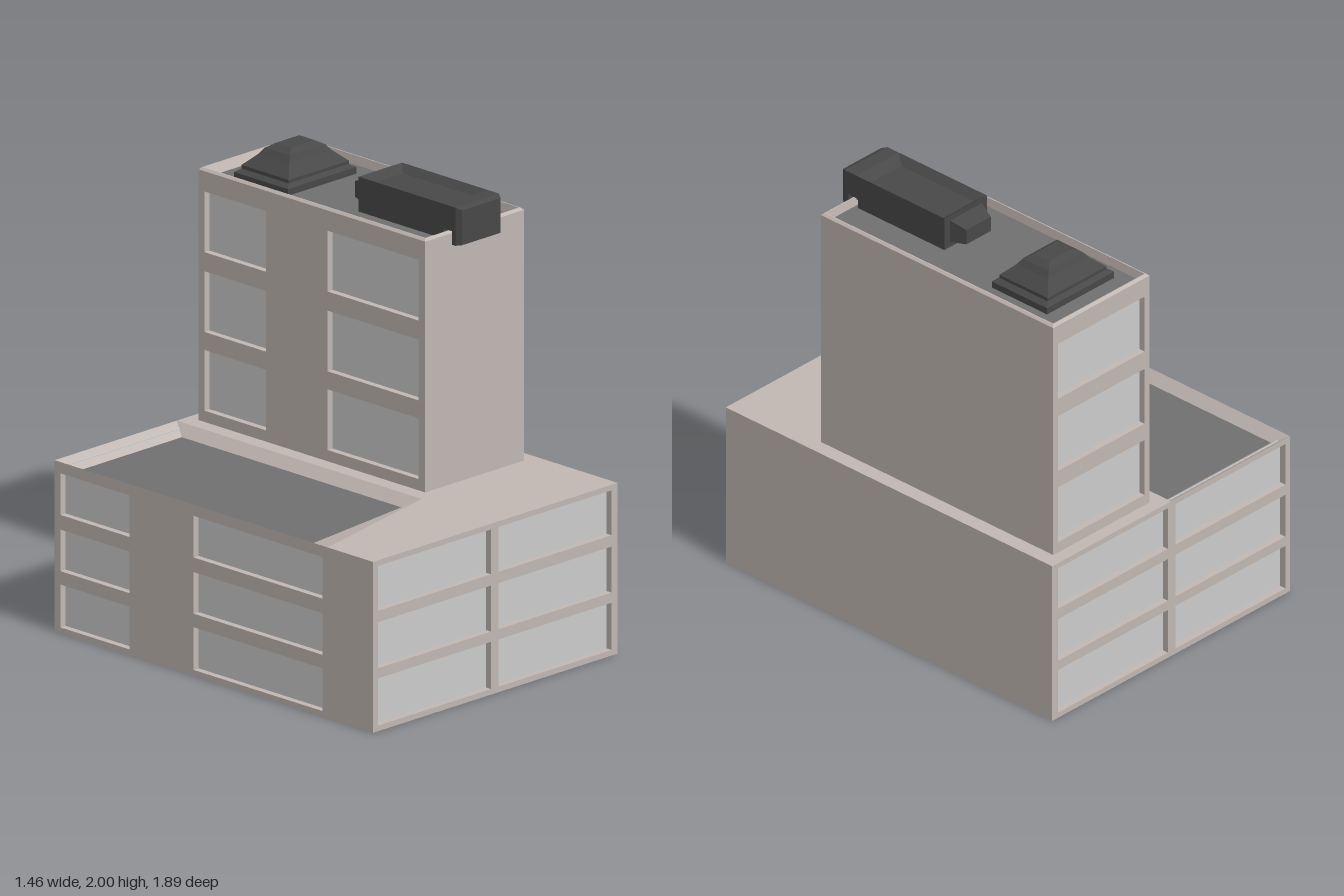
import * as THREE from 'three';

const mat = (color) => new THREE.MeshStandardMaterial({ color, flatShading: true });
const WALL = mat(0xc1b7b2), PANE = mat(0xcccccc), ROOF = mat(0x707070), DARK = mat(0x484848);
const T = 0.03; // facade thickness, also window recess depth

function add(parent, name, geometry, material) {
  const mesh = new THREE.Mesh(geometry, material);
  mesh.name = name;
  parent.add(mesh);
  return mesh;
}

// Rectangular loop, clockwise seen from above
const rect = (x0, x1, z0, z1, y) => [[x0, y, z0], [x1, y, z0], [x1, y, z1], [x0, y, z1]];

// Skin a stack of four-cornered loops; optionally close both ends
function loft(loops, start = false, end = false) {
  const p = [];
  const quad = (a, b, c, d) => p.push(...a, ...b, ...c, ...a, ...c, ...d);
  for (let k = 0; k + 1 < loops.length; k++) {
    const A = loops[k], B = loops[k + 1];
    for (let i = 0; i < 4; i++) {
      const j = (i + 1) % 4;
      quad(A[i], B[i], B[j], A[j]);
    }
  }
  if (start) quad(...loops[0]);
  if (end) quad(...[...loops[loops.length - 1]].reverse());
  const g = new THREE.BufferGeometry();
  g.setAttribute('position', new THREE.Float32BufferAttribute(p, 3));
  g.computeVertexNormals();
  return g;
}

function box(x0, x1, y0, y1, z0, z1) {
  return new THREE.BoxGeometry(x1 - x0, y1 - y0, z1 - z0)
    .translate((x0 + x1) / 2, (y0 + y1) / 2, (z0 + z1) / 2);
}

// Wall slab with window openings: every column [u0, u1] times every row [y0, y1]
function facade(u0, u1, y0, y1, columns, rows) {
  const outline = (Type, a, b, c, d) =>
    new Type([[a, c], [b, c], [b, d], [a, d]].map(([x, y]) => new THREE.Vector2(x, y)));
  const shape = outline(THREE.Shape, u0, u1, y0, y1);
  for (const [a, b] of columns)
    for (const [c, d] of rows) shape.holes.push(outline(THREE.Path, a, b, c, d));
  return new THREE.ExtrudeGeometry(shape, { depth: T, bevelEnabled: false });
}

function createBase() {
  const g = new THREE.Group();
  g.name = 'base';
  const X = 0.73, Z = 0.945, H = 0.76, top = 0.74, sideTop = 0.725;
  const rows = [[0.025, 0.235], [0.28, 0.485], [0.535, 0.735]];
  const sideRows = [[0.025, 0.215], [0.275, 0.46], [0.525, 0.71]];
  const columns = [[-0.7, -0.025], [0.02, 0.695]];

  // Window panes are the faces of a core set behind the facades
  add(g, 'baseWindowPanes', box(-X + T, X - T, 0.01, 0.71, -Z + T, Z - T), PANE);
  for (const s of [-1, 1])
    add(g, 'baseUpperPanes', box(-X + T + 0.005, X - T, 0.5, top, s * (Z - T) - (s > 0 ? 0.01 : 0),
      s * (Z - T) + (s < 0 ? 0.01 : 0)), PANE);
  add(g, 'baseFrontWall', facade(-X, X, 0, top, columns, rows).translate(0, 0, Z - T), WALL);
  add(g, 'baseBackWall', facade(-X, X, 0, top, columns, rows).translate(0, 0, -Z), WALL);
  add(g, 'baseRightWall', facade(-Z + T, Z - T, 0, sideTop, [[-0.91, -0.5], [-0.12, 0.645]], sideRows)
    .rotateY(-Math.PI / 2).translate(-X + T, 0, 0), WALL);
  add(g, 'baseLeftWall', box(X - T, X, 0, sideTop, -Z + T, Z - T), WALL);

  // Band above the facades: follows the lower panel top on the two long sides
  add(g, 'baseTopBand', loft([rect(-X, X, -Z, Z, top), rect(-X, X, -Z, Z, H)]), WALL);
  add(g, 'baseSideBand', loft([rect(-X, X, -Z + T, Z - T, sideTop), rect(-X, X, -Z + T, Z - T, top)]), WALL);
  add(g, 'baseUnderside', loft([rect(-X, X, -Z, Z, 0)], true), WALL);

  // Flat deck around the sunken roof
  const deck = new THREE.Shape([[-X, Z], [X, Z], [X, -Z], [0, -Z], [0, 0.51], [-X, 0.675]]
    .map(([x, z]) => new THREE.Vector2(x, -z)));
  add(g, 'baseDeck', new THREE.ShapeGeometry(deck).rotateX(-Math.PI / 2).translate(0, H, 0), WALL);

  // Sloping sides and floor of the sunken roof
  const rim = [[-X, H, -Z], [0, H, -Z], [0, H, 0.51], [-X, H, 0.675]];
  const floor = rect(-0.69, -0.045, -0.87, 0.505, 0.715);
  add(g, 'sunkenRoofSlopes', loft([rim, floor]), WALL);
  add(g, 'sunkenRoofFloor', loft([floor], false, true), ROOF);
  return g;
}

function createTower() {
  const g = new THREE.Group();
  g.name = 'tower';
  const x0 = 0.07, x1 = 0.66, z0 = -0.885, z1 = 0.46, y0 = 0.76, top = 1.81;
  const rows = [[0.81, 1.08], [1.16, 1.43], [1.515, 1.785]];
  add(g, 'towerWindowPanes', box(x0 + T, x1 - T, y0, top, z0 + T, z1 - T), PANE);
  add(g, 'towerBackWall', facade(x0, x1, y0, top, [[0.1, 0.63]], rows).translate(0, 0, z0), WALL);
  add(g, 'towerFrontWall', facade(x0, x1, y0, top, [], []).translate(0, 0, z1 - T), WALL);
  add(g, 'towerRightWall', facade(z0 + T, z1 - T, y0, top, [[-0.85, -0.486], [-0.12, 0.42]], rows)
    .rotateY(-Math.PI / 2).translate(x0 + T, 0, 0), WALL);
  add(g, 'towerLeftWall', box(x1 - T, x1, y0, top, z0 + T, z1 - T), WALL);

  // Parapet with a chamfered edge around the lowered roof
  const ring = (inset, y) => rect(x0 + inset, x1 - inset, z0 + inset, z1 - inset, y);
  const floor = rect(x0 + 0.02, x1 - 0.02, z0 + 0.035, z1 - 0.02, 1.845);
  add(g, 'parapet', loft([ring(0, top), ring(0, 1.875), ring(0.01, 1.885), ring(0.015, 1.885), floor]), WALL);
  add(g, 'towerRoof', loft([floor], false, true), ROOF);
  return g;
}

function createSkylight() {
  const steps = [[0.205, 0.16, 1.84], [0.205, 0.16, 1.875], [0.18, 0.14, 1.89], [0.18, 0.14, 1.905],
    [0.125, 0.09, 1.955], [0.105, 0.075, 1.98], [0.07, 0.045, 2]];
  const g = new THREE.Group();
  g.name = 'skylight';
  add(g, 'skylightHood', loft(steps.map(([w, d, y]) =>
    rect(0.355 - w, 0.355 + w, -0.595 - d, -0.595 + d, y)), false, true), DARK);
  return g;
}

function createVent() {
  const g = new THREE.Group();
  g.name = 'roofVent';
  const a = 0.215, b = 0.475;
  // Body with a shallow tray in the top
  add(g, 'ventFoot', box(a, b, 1.84, 1.89, -0.08, 0.42), DARK);
  add(g, 'ventBody', loft([rect(a, b, -0.08, 0.43, 1.885), rect(a, b, -0.08, 0.43, 2),
    rect(0.25, 0.44, -0.04, 0.38, 1.97)], true, true), DARK);
  // Overhanging front hood with a downward lip, lofted forwards
  add(g, 'ventHood', loft([
    rect(a, b, -2, -1.89, 0.43), rect(a, b, -2, -1.89, 0.475), rect(a, b, -2, -1.83, 0.475),
    rect(a, b, -2, -1.83, 0.495), rect(0.23, 0.46, -1.99, -1.835, 0.52),
  ], true, true).rotateX(Math.PI / 2), DARK);
  // Tapered rear outlet, lofted backwards
  add(g, 'ventOutlet', loft([rect(0.245, 0.44, 1.87, 1.975, 0.08), rect(0.27, 0.42, 1.88, 1.95, 0.155)],
    false, true).rotateX(-Math.PI / 2), DARK);
  return g;
}

export function createModel() {
  const model = new THREE.Group();
  model.name = 'building';
  model.add(createBase(), createTower(), createSkylight(), createVent());
  return model;
}
